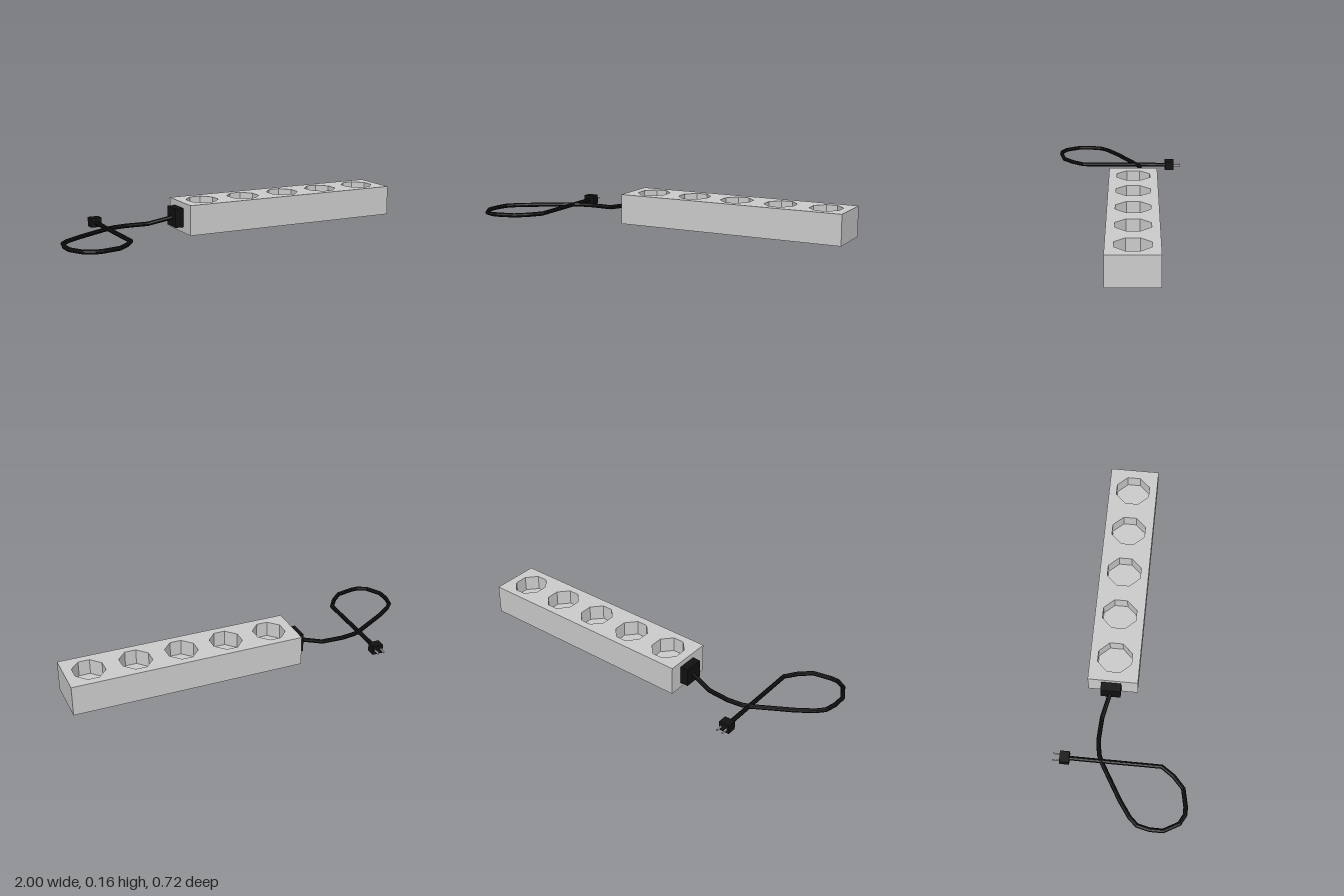
import * as THREE from 'three';

const grey = new THREE.MeshStandardMaterial({ color: 0xcccccc, flatShading: true });
const black = new THREE.MeshStandardMaterial({ color: 0x111111, flatShading: true });

// Curve made of straight runs, with mitred tangents at the bends
class Polyline extends THREE.Curve {
  constructor(points) {
    super();
    this.points = points;
  }
  getPointAt(u, target = new THREE.Vector3()) {
    return target.copy(this.points[Math.round(u * (this.points.length - 1))]);
  }
  getTangentAt(u, target = new THREE.Vector3()) {
    const p = this.points, last = p.length - 1, i = Math.round(u * last);
    target.set(0, 0, 0);
    if (i > 0) target.add(p[i].clone().sub(p[i - 1]).normalize());
    if (i < last) target.add(p[i + 1].clone().sub(p[i]).normalize());
    return target.normalize();
  }
}

export function createModel() {
  const group = new THREE.Group();
  const add = (name, geometry, material, x = 0, y = 0, z = 0) => {
    const mesh = new THREE.Mesh(geometry, material);
    mesh.name = name;
    mesh.position.set(x, y, z);
    group.add(mesh);
    return mesh;
  };
  const box = (name, material, x0, x1, y0, y1, z0, z1) =>
    add(name, new THREE.BoxGeometry(x1 - x0, y1 - y0, z1 - z0), material,
      (x0 + x1) / 2, (y0 + y1) / 2, (z0 + z1) / 2);

  // Housing: solid base below, upper shell pierced by eight-sided wells
  const x0 = -0.25, x1 = 1, z0 = -0.219, z1 = 0.046, floorY = 0.08, topY = 0.162;
  box('housingBase', grey, x0, x1, 0, floorY, z0, z1);
  const outline = new THREE.Shape([
    [x0, -z1], [x1, -z1], [x1, -z0], [x0, -z0],
  ].map(([x, y]) => new THREE.Vector2(x, y)));
  const octagon = [
    [0.08, 0.035], [0.03, 0.09], [-0.03, 0.09], [-0.08, 0.035],
    [-0.08, -0.035], [-0.03, -0.09], [0.03, -0.09], [0.08, -0.035],
  ];
  for (let i = 0; i < 5; i++) {
    const cx = -0.119 + i * 0.2478, cy = 0.087;
    outline.holes.push(new THREE.Path(octagon.map(([x, y]) => new THREE.Vector2(cx + x, cy + y))));
  }
  const shell = new THREE.ExtrudeGeometry(outline, { depth: topY - floorY, bevelEnabled: false });
  shell.rotateX(-Math.PI / 2);
  add('housingWithSockets', shell, grey, 0, floorY, 0);

  // Cable entry block on the housing's end
  box('cableEntry', black, -0.296, -0.25, 0.03, 0.132, -0.148, -0.042);

  // Looped cable lying flat, rising to the entry block
  const path = [
    [-0.655, -0.29], [-0.655, 0.21], [-0.70, 0.275], [-0.76, 0.33], [-0.855, 0.35],
    [-0.895, 0.35], [-0.943, 0.325], [-0.988, 0.245], [-0.988, 0.175], [-0.973, 0.11],
    [-0.935, 0.068], [-0.85, 0.008], [-0.66, -0.105], [-0.62, -0.122], [-0.54, -0.133],
    [-0.42, -0.127], [-0.28, -0.095, 0.08],
  ].map(([x, z, y = 0.049]) => new THREE.Vector3(x, y, z));
  add('cable', new THREE.TubeGeometry(new Polyline(path), path.length - 1, 0.012, 8), black);

  // Plug with two prongs
  box('plug', black, -0.685, -0.625, 0.025, 0.075, -0.325, -0.274);
  for (const side of [-1, 1]) {
    const x = -0.655 + side * 0.017;
    box('prong', grey, x - 0.003, x + 0.003, 0.045, 0.054, -0.363, -0.324);
  }
  return group;
}
